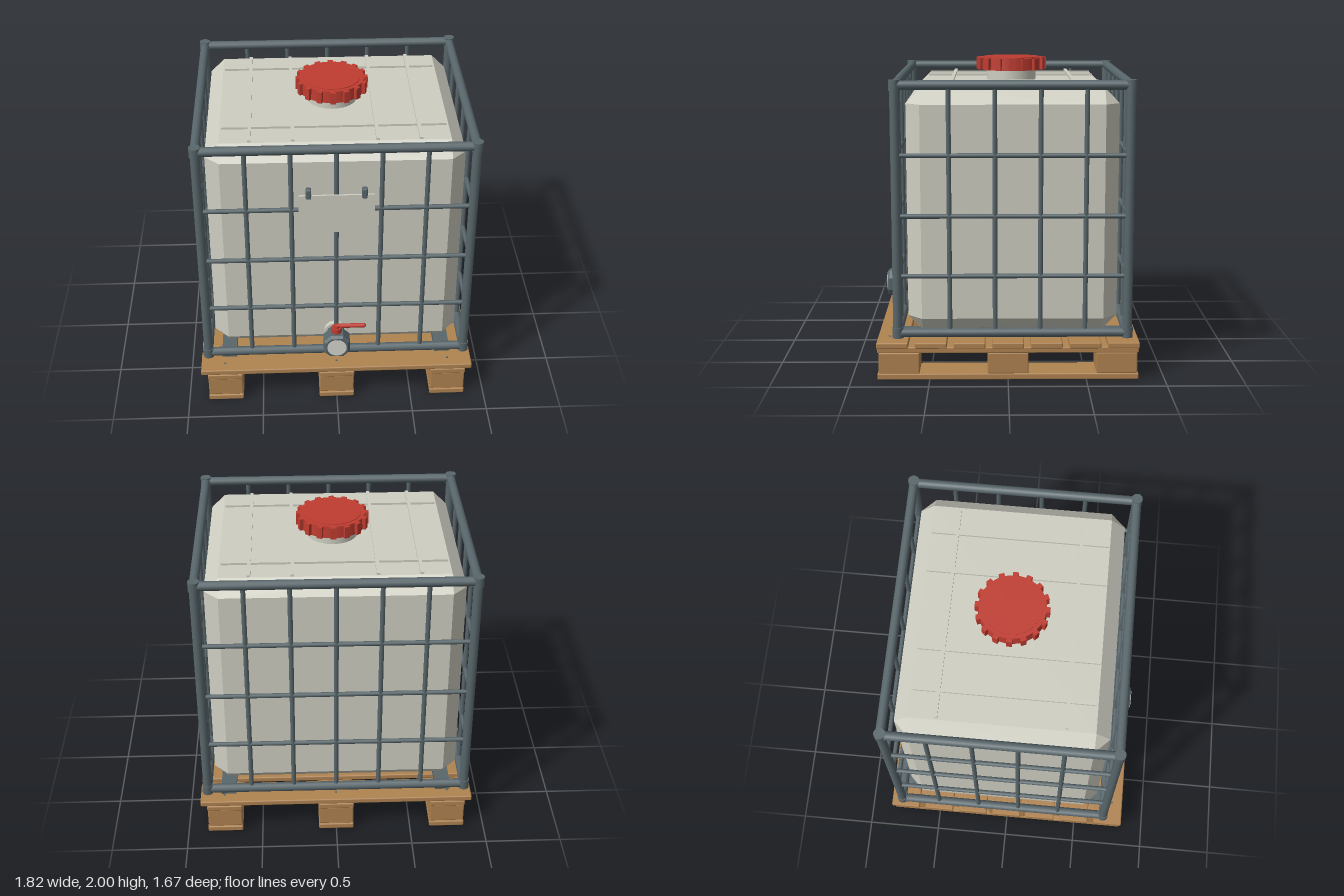
import * as THREE from 'three';
import { RoundedBoxGeometry } from 'three/addons/geometries/RoundedBoxGeometry.js';
import { ConvexGeometry } from 'three/addons/geometries/ConvexGeometry.js';

const material = (name, color, extra = {}) => {
  const m = new THREE.MeshStandardMaterial({ color, ...extra });
  m.name = name;
  return m;
};

export function createModel() {
  const plastic = material('tank plastic', 0xcfcec2);
  const steel = material('cage steel', 0x58666b);
  const red = material('red plastic', 0xc03c30);
  const wood = material('pallet wood', 0xb08350);
  const pale = material('pale disc', 0xd8d8d2);

  const root = new THREE.Group();
  root.name = 'caged tank on pallet';
  const C = -0.03; // depth centre of tank and cage

  const section = (name) => {
    const g = new THREE.Group();
    g.name = name;
    root.add(g);
    return g;
  };
  const add = (parent, name, geo, mat, x = 0, y = 0, z = 0) => {
    const m = new THREE.Mesh(geo, mat);
    m.name = name;
    m.position.set(x, y, z);
    parent.add(m);
    return m;
  };
  const box = (w, h, d) => new THREE.BoxGeometry(w, h, d);
  const board = (w, h, d) => new RoundedBoxGeometry(w, h, d, 1, 0.008);
  const cyl = (r, h, n = 24, r2 = r) => new THREE.CylinderGeometry(r, r2, h, n);
  // Round bar between two points
  const bar = (parent, name, r, a, b, mat = steel) => {
    const from = new THREE.Vector3(...a), to = new THREE.Vector3(...b);
    const dir = to.clone().sub(from);
    const m = add(parent, name, cyl(r, dir.length(), 12), mat);
    m.position.copy(from).add(to).multiplyScalar(0.5);
    m.quaternion.setFromUnitVectors(new THREE.Vector3(0, 1, 0), dir.normalize());
    return m;
  };

  // Pallet: deck boards across, stringers and runners front to back, nine blocks
  const pallet = section('pallet');
  for (let i = 0; i < 7; i++) {
    add(pallet, 'deckBoard', board(1.82, 0.038, 0.202), wood, 0, 0.237, -0.734 + i * 0.2447);
  }
  for (const x of [-0.75, 0, 0.75]) {
    add(pallet, 'stringer', board(0.235, 0.04, 1.67), wood, x, 0.196, 0);
    add(pallet, 'runner', board(0.235, 0.04, 1.67), wood, x, 0.02, 0);
    for (const z of [-0.695, 0, 0.695]) {
      add(pallet, 'block', board(0.23, 0.138, 0.262), wood, x, 0.108, z);
    }
    for (const z of [-0.76, 0.76]) {
      add(pallet, 'screwHead', cyl(0.008, 0.004, 8), steel, x, 0.257, z);
    }
  }

  // Tank: box with every edge chamfered
  const tank = section('tank');
  const X = 0.815, Y = 0.775, Z = 0.67, c = 0.092;
  const points = [];
  for (const sx of [-1, 1]) for (const sy of [-1, 1]) for (const sz of [-1, 1]) {
    points.push(
      new THREE.Vector3(sx * X, sy * (Y - c), sz * (Z - c)),
      new THREE.Vector3(sx * (X - c), sy * Y, sz * (Z - c)),
      new THREE.Vector3(sx * (X - c), sy * (Y - c), sz * Z));
  }
  add(tank, 'tankBody', new ConvexGeometry(points), plastic, 0, 1.072, C);
  for (const x of [-0.535, -0.265, 0.265, 0.535]) {
    add(tank, 'longRib', box(0.022, 0.018, 1.145), plastic, x, 1.852, C);
  }
  for (const z of [-0.437, 0.365]) {
    add(tank, 'crossRib', box(1.42, 0.018, 0.022), plastic, 0, 1.852, z);
  }

  // Filler neck and ribbed cap
  add(tank, 'fillerNeck', cyl(0.165, 0.09, 40), plastic, 0, 1.885, C);
  const cap = section('cap');
  cap.position.set(0, 0, C);
  add(cap, 'capBody', cyl(0.212, 0.08, 48, 0.215), red, 0, 1.956, 0);
  add(cap, 'capTop', cyl(0.185, 0.01, 48), red, 0, 1.995, 0);
  for (let i = 0; i < 16; i++) {
    const a = (i / 16) * Math.PI * 2;
    const grip = add(cap, 'capGrip', box(0.036, 0.078, 0.04), red,
      Math.sin(a) * 0.215, 1.956, Math.cos(a) * 0.215);
    grip.rotation.y = a;
  }

  // Cage: posts with corner sleeves, rails and a grid of thinner bars
  const cage = section('cage');
  const px = 0.86, front = 0.698, back = -0.756, low = 0.312, high = 1.88, grid = 0.015;
  const levels = [0.68, 1.063, 1.445];
  for (const x of [-px, px]) {
    for (const z of [front, back]) {
      bar(cage, 'post', 0.03, [x, 0.285, z], [x, 1.905, z]);
      add(cage, 'upperSleeve', cyl(0.036, 0.066, 16), steel, x, 1.88, z);
      add(cage, 'lowerSleeve', cyl(0.036, 0.066, 16), steel, x, 0.314, z);
    }
    for (const y of [low, high]) bar(cage, 'sideRail', 0.03, [x, y, back], [x, y, front]);
    for (const y of levels) bar(cage, 'sideBar', grid, [x, y, back], [x, y, front]);
    for (const z of [-0.487, -0.203, 0.082, 0.368]) {
      bar(cage, 'sideUpright', grid, [x, low, z], [x, high, z]);
    }
  }
  for (const z of [front, back]) {
    for (const y of [low, high]) bar(cage, 'endRail', 0.03, [-px, y, z], [px, y, z]);
    for (const y of levels) bar(cage, 'endBar', grid, [-px, y, z], [px, y, z]);
    for (let i = -2; i <= 2; i++) {
      bar(cage, 'endUpright', grid, [i * 0.283, low, z], [i * 0.283, high, z]);
    }
  }
  for (const x of [-0.72, 0.72]) {
    add(cage, 'skid', box(0.1, 0.042, 1.44), steel, x, 0.277, C);
  }

  // Blank sign plate hung from two clips
  const sign = section('sign');
  add(sign, 'signPlate', box(0.476, 0.275, 0.012), plastic, 0, 1.428, 0.724);
  for (const x of [-0.175, 0.175]) {
    add(sign, 'signClip', board(0.035, 0.07, 0.04), steel, x, 1.575, 0.717);
  }

  // Outlet valve: eight-sided body, pale end cap and red lever
  const valve = section('valve');
  const vy = 0.427;
  bar(valve, 'outletNeck', 0.08, [0, vy, 0.58], [0, vy, 0.67], plastic);
  bar(valve, 'outletPipe', 0.062, [0, vy, 0.66], [0, vy, 0.74]);
  const s = 0.0865, k = 0.042;
  const octagon = new THREE.Shape([
    [s, -k], [s, k], [k, s], [-k, s], [-s, k], [-s, -k], [-k, -s], [k, -s],
  ].map(([x, y]) => new THREE.Vector2(x, y)));
  add(valve, 'valveBody', new THREE.ExtrudeGeometry(octagon, {
    depth: 0.08, bevelEnabled: true, bevelSegments: 1,
    bevelThickness: 0.016, bevelSize: 0.014, bevelOffset: -0.014,
  }), steel, 0, vy, 0.735);
  const disc = add(valve, 'outletCap', cyl(0.064, 0.008, 32), pale, 0, vy, 0.831);
  disc.rotation.x = Math.PI / 2;
  add(valve, 'leverStem', cyl(0.034, 0.045, 20), red, 0, 0.527, 0.766);
  add(valve, 'leverHub', cyl(0.02, 0.024, 16), red, 0, 0.553, 0.766);
  bar(valve, 'lever', 0.015, [0, 0.555, 0.76], [0.18, 0.555, 0.76], red);
  add(valve, 'leverTip', new THREE.SphereGeometry(0.015, 12, 8), red, 0.18, 0.555, 0.76);

  return root;
}
